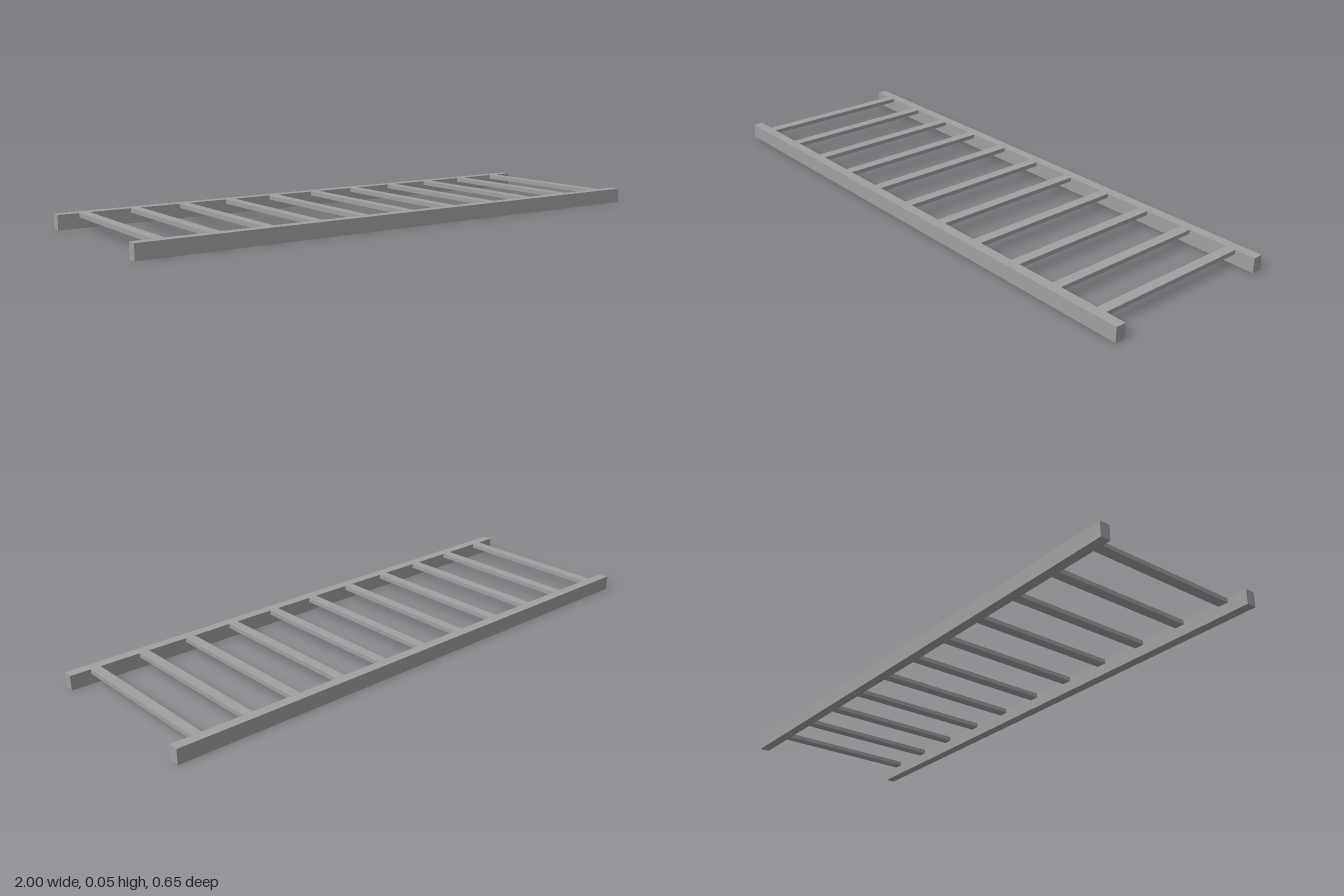
import * as THREE from 'three';

export function createModel() {
  const group = new THREE.Group();
  const grey = new THREE.MeshStandardMaterial({ color: 0xa0a0a0 });
  grey.name = 'grey metal';

  const HEIGHT = 0.052, HALF_WIDTH = 0.326, RAIL = 0.036;
  const RUNG_HEIGHT = 0.015, RUNG_WIDTH = 0.036;
  const RUNGS = 11, SPACING = 0.1818;

  function addBar(name, w, h, d, x, y, z) {
    const mesh = new THREE.Mesh(new THREE.BoxGeometry(w, h, d), grey);
    mesh.name = name;
    mesh.position.set(x, y, z);
    group.add(mesh);
  }

  // Side rails
  for (const side of [1, -1]) {
    addBar(side > 0 ? 'frontRail' : 'backRail', 2, HEIGHT, RAIL,
      0, HEIGHT / 2, side * (HALF_WIDTH - RAIL / 2));
  }

  // Flat rungs, flush with the top of the rails
  const span = 2 * (HALF_WIDTH - RAIL);
  for (let i = 0; i < RUNGS; i++) {
    addBar('rung' + (i + 1), RUNG_WIDTH, RUNG_HEIGHT, span,
      (i - (RUNGS - 1) / 2) * SPACING, HEIGHT - RUNG_HEIGHT / 2, 0);
  }
  return group;
}
